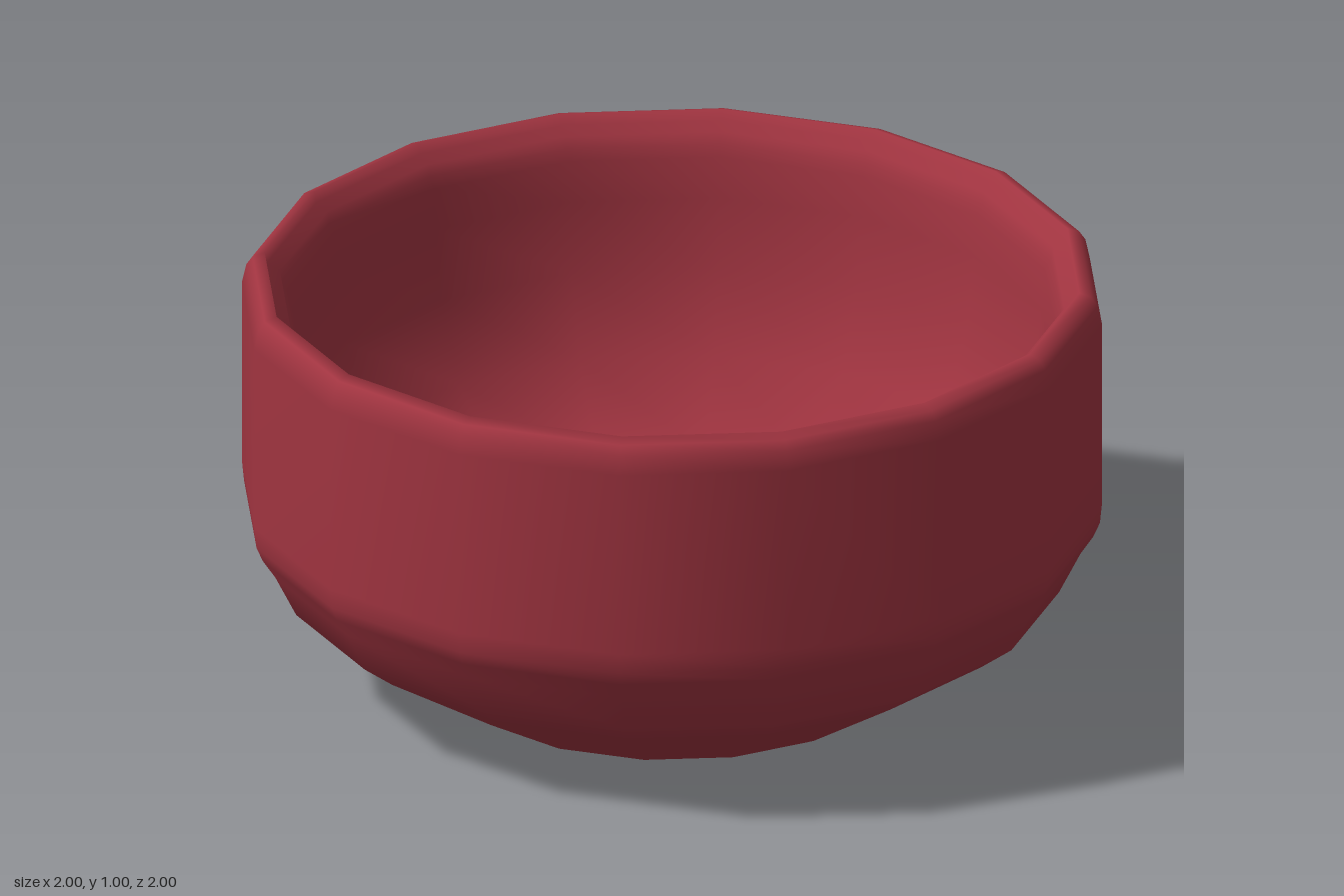
import * as THREE from 'three';

const SIDES = 16;

export function createModel() {
  const model = new THREE.Group();
  const material = new THREE.MeshStandardMaterial({ color: 0xa03440 });

  const addLathe = (name, profile) => {
    const points = profile.map(([r, y]) => new THREE.Vector2(r, y));
    const mesh = new THREE.Mesh(new THREE.LatheGeometry(points, SIDES), material);
    mesh.name = name;
    model.add(mesh);
  };

  // Flat underside, kept separate for a crisp lower edge
  addLathe('base', [[0, 0], [0.53, 0]]);

  // Outer wall, stepped rim and rounded hollow in one smooth profile
  addLathe('bowl', [
    [0.53, 0], [0.82, 0.18], [0.9, 0.24], [0.95, 0.34], [0.98, 0.385], [0.995, 0.42], [1, 0.47],
    [1, 0.92], [0.99, 0.965], [0.975, 0.987], [0.947, 0.997],
    [0.943, 0.97], [0.912, 0.955], [0.908, 0.925], [0.892, 0.9],
    [0.885, 0.8], [0.865, 0.63], [0.8, 0.44], [0.64, 0.26], [0, 0.22],
  ]);

  return model;
}
